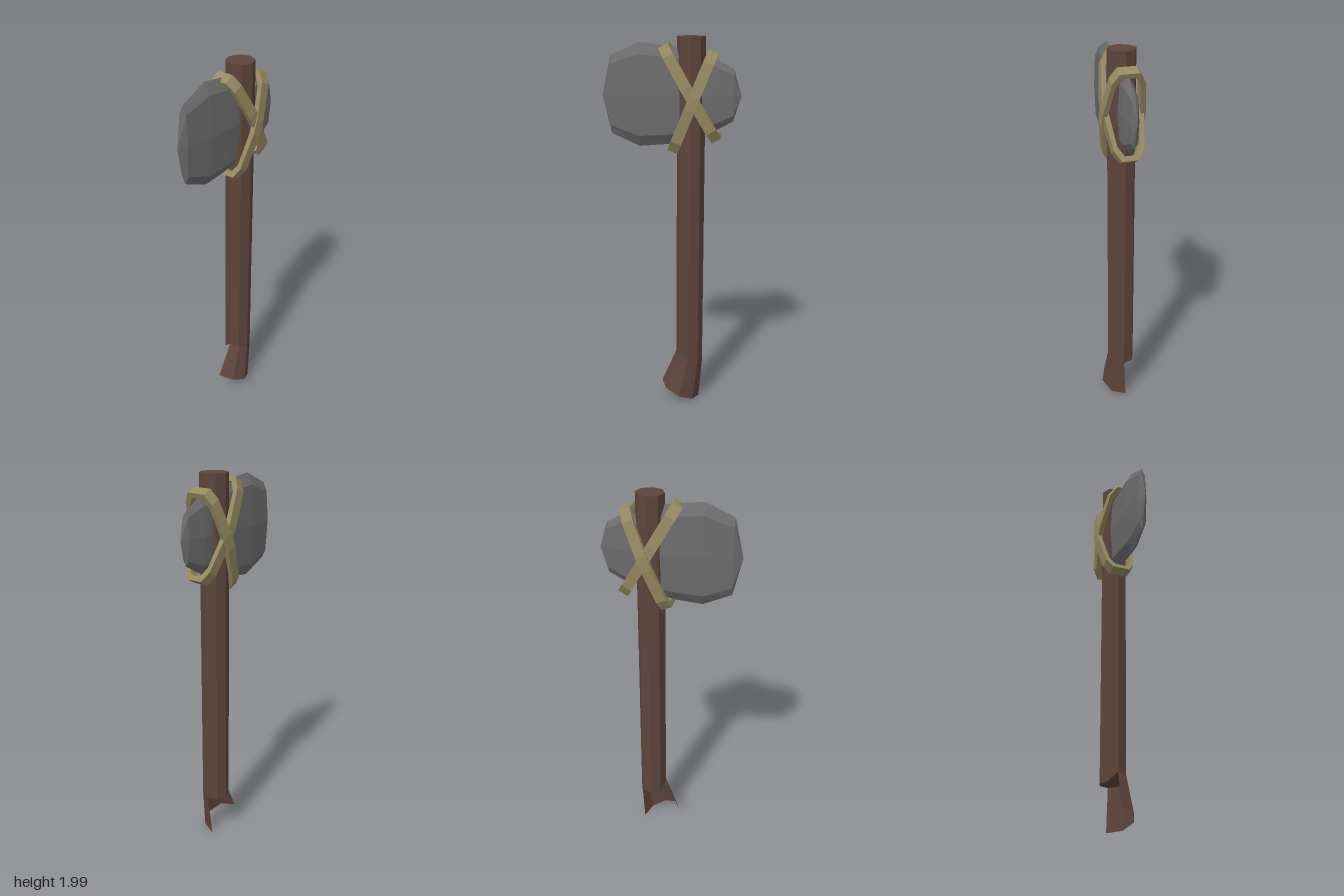
import * as THREE from 'three';

const wood = new THREE.MeshStandardMaterial({ color: 0x5e453b, flatShading: true, side: THREE.DoubleSide });
const rock = new THREE.MeshStandardMaterial({ color: 0x6c6c6c, flatShading: true });
const hide = new THREE.MeshStandardMaterial({ color: 0x968a62, flatShading: true });

// Skin a list of equal-length rings of points with flat quads
function loft(rings, closed = true) {
  const pos = [];
  for (let r = 0; r < rings.length - 1; r++) {
    const lo = rings[r], hi = rings[r + 1], n = lo.length;
    for (let i = 0; i < (closed ? n : n - 1); i++) {
      const j = (i + 1) % n;
      pos.push(...lo[i], ...hi[i], ...lo[j], ...lo[j], ...hi[i], ...hi[j]);
    }
  }
  const g = new THREE.BufferGeometry();
  g.setAttribute('position', new THREE.Float32BufferAttribute(pos, 3));
  g.computeVertexNormals();
  return g;
}

const ring = (n, fn) => Array.from({ length: n }, (_, i) => {
  const a = i * Math.PI / 4;
  return fn(Math.cos(a), Math.sin(a), i);
});

// Angular loop of hide wrapped from one end point to the other
function binding(name, x0, y0, x1, y1, depth, endDepth) {
  const half = Math.hypot(x1 - x0, y1 - y0) / 2, width = 0.056;
  const outline = (t) => {
    const h = half - t, d = depth - t, e = endDepth - t * 0.6;
    const side = [[h, e], [h * 0.8, d * 0.76], [h * 0.14, d], [-h * 0.14, d], [-h * 0.8, d * 0.76], [-h, e]];
    const back = side.map(([s, z]) => [s, -z]).reverse();
    return [...side, ...back].map(([s, z]) => new THREE.Vector2(s, z));
  };
  const shape = new THREE.Shape(outline(0));
  shape.holes.push(new THREE.Path(outline(0.026)));
  const g = new THREE.ExtrudeGeometry(shape, { depth: width, bevelEnabled: false });
  g.translate(0, 0, -width / 2);
  const along = new THREE.Vector3(x1 - x0, y1 - y0, 0).normalize();
  const z = new THREE.Vector3(0, 0, 1);
  g.applyMatrix4(new THREE.Matrix4().makeBasis(along, z, along.clone().cross(z)));
  g.translate((x0 + x1) / 2, (y0 + y1) / 2, 0);
  const m = new THREE.Mesh(g, hide);
  m.name = name;
  return m;
}

export function createModel() {
  const group = new THREE.Group();
  const add = (name, geometry, material) => {
    const m = new THREE.Mesh(geometry, material);
    m.name = name;
    group.add(m);
  };

  // Octagonal shaft, capped at both ends
  const shaftRing = (yOf) => ring(8, (c, s, i) => [0.1 + 0.072 * c, yOf(c, i), 0.072 * s]);
  const seam = shaftRing((c, i) => (i > 4 ? 0.24 : 0.265 - 0.025 * c));
  const centre = (y) => ring(8, () => [0.1, y, 0]);
  add('handle', loft([centre(0.262), seam, shaftRing(() => 2), centre(2)]), wood);

  // Flared half shell at the foot, open at the back
  const foot = ring(5, (c, s) => [0.05 + 0.103 * c, 0.05 - 0.042 * c, -0.015 + 0.108 * s]);
  add('handleFoot', loft([foot, seam.slice(0, 5)], false), wood);

  // Stone head: x, centre height, half height, half thickness
  const sections = [
    [-0.355, 1.705, 0, 0], [-0.31, 1.707, 0.198, 0.026], [-0.165, 1.707, 0.263, 0.043],
    [-0.02, 1.705, 0.248, 0.045], [0.06, 1.707, 0.235, 0.043], [0.13, 1.71, 0.17, 0.038],
    [0.215, 1.71, 0.185, 0.036], [0.315, 1.71, 0.13, 0.021], [0.353, 1.71, 0, 0],
  ];
  const profile = [[1, 0], [0.76, 0.78], [0, 1], [-0.76, 0.78], [-1, 0], [-0.76, -0.78], [0, -1], [0.76, -0.78]];
  add('stoneHead', loft(sections.map(([x, y, h, t]) => profile.map(([pz, py]) => [x, y + py * h, pz * t]))), rock);

  // Two crossed lashings
  group.add(binding('lowerLashing', -0.038, 1.955, 0.235, 1.485, 0.1, 0.042));
  group.add(binding('upperLashing', 0.212, 1.925, 0.01, 1.425, 0.107, 0.048));
  return group;
}
